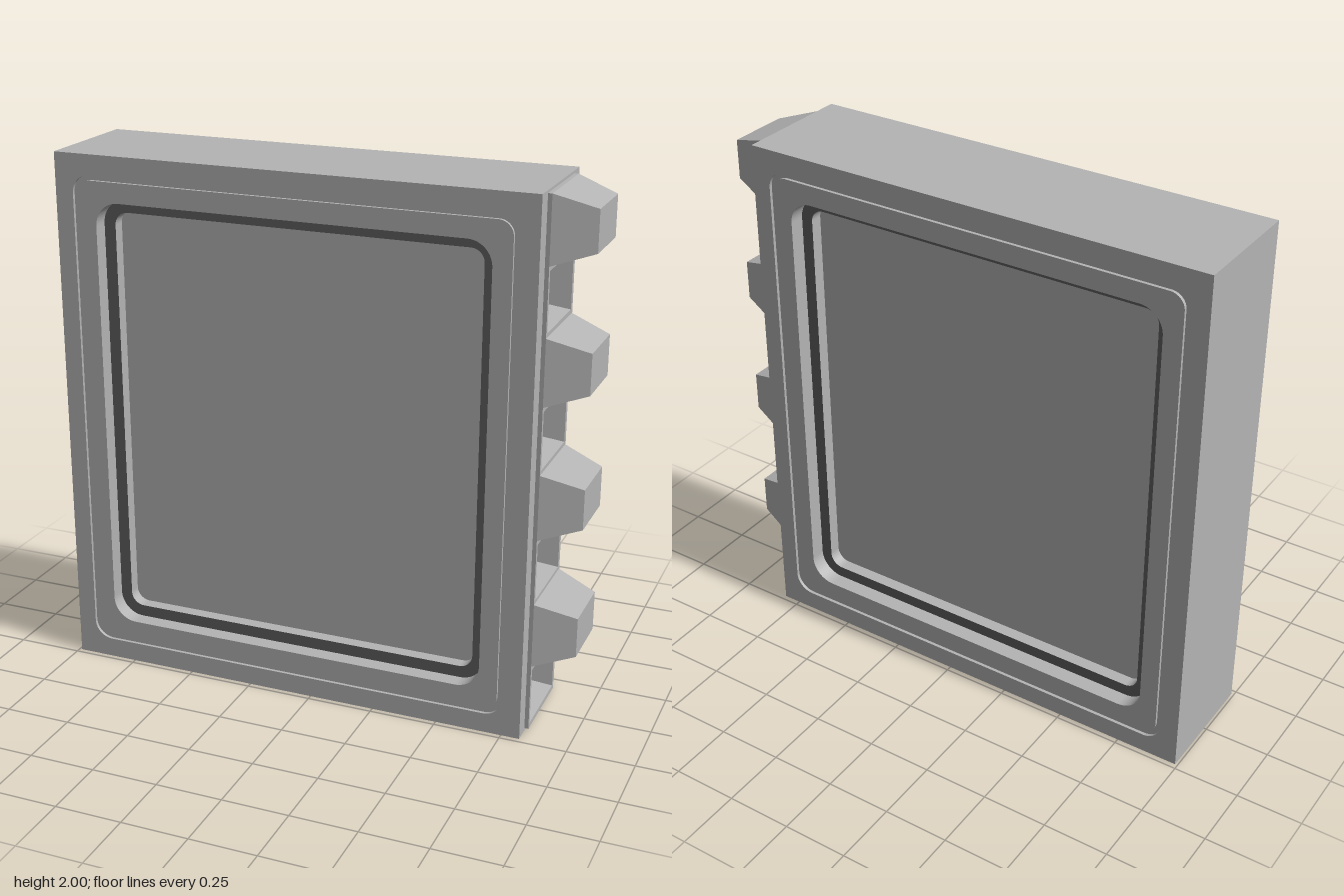
import * as THREE from 'three';

const body = new THREE.MeshStandardMaterial({ color: 0xb4b4b4 });
body.name = 'light grey';
const dark = new THREE.MeshStandardMaterial({ color: 0x606060 });
dark.name = 'dark grey';

function add(parent, name, geometry, material = body) {
  const mesh = new THREE.Mesh(geometry, material);
  mesh.name = name;
  parent.add(mesh);
  return mesh;
}

// Box given by its limits on each axis
function block(x0, x1, y0, y1, z0, z1) {
  return new THREE.BoxGeometry(x1 - x0, y1 - y0, z1 - z0)
    .translate((x0 + x1) / 2, (y0 + y1) / 2, (z0 + z1) / 2);
}

// Rectangle outline with half sizes w, h and corner radius r
function outline(w, h, r = 0, cx = 0, cy = 0, Type = THREE.Shape) {
  const s = new Type();
  if (!r) {
    return s.moveTo(cx - w, cy - h).lineTo(cx + w, cy - h).lineTo(cx + w, cy + h)
      .lineTo(cx - w, cy + h).lineTo(cx - w, cy - h);
  }
  s.moveTo(cx - w + r, cy - h);
  s.absarc(cx + w - r, cy - h + r, r, -Math.PI / 2, 0);
  s.absarc(cx + w - r, cy + h - r, r, 0, Math.PI / 2);
  s.absarc(cx - w + r, cy + h - r, r, Math.PI / 2, Math.PI);
  s.absarc(cx - w + r, cy - h + r, r, Math.PI, Math.PI * 1.5);
  return s;
}

// Plate with a rounded hole, extruded from z0 to z1
function frame(outer, inner, z0, z1) {
  const s = outline(...outer);
  s.holes.push(outline(...inner, 0, 0, THREE.Path));
  return new THREE.ExtrudeGeometry(s, { depth: z1 - z0, bevelEnabled: false, curveSegments: 8 })
    .translate(0, 0, z0);
}

// Box along x whose +x end (or -x end when inward) is narrower
function taper(length, h0, d0, h1, d1, inward = false) {
  const g = new THREE.BoxGeometry(length, 1, 1).translate(length / 2, 0, 0);
  const p = g.attributes.position;
  for (let i = 0; i < p.count; i++) {
    const tip = p.getX(i) > length / 2;
    p.setXYZ(i, inward ? -p.getX(i) : p.getX(i),
      p.getY(i) * (tip ? h1 : h0), p.getZ(i) * (tip ? d1 : d0));
  }
  g.computeVertexNormals();
  return g;
}

// Strip with a row of pocket mouths, extruded along x
const pocketY = i => 0.135 + i * 0.495;
function pocketStrip(halfDepth, y0, y1, x0, x1) {
  const s = outline(halfDepth, (y1 - y0) / 2, 0, 0, (y0 + y1) / 2);
  for (let i = 0; i < 4; i++) s.holes.push(outline(0.15, 0.1075, 0, 0, pocketY(i), THREE.Path));
  return new THREE.ExtrudeGeometry(s, { depth: x1 - x0, bevelEnabled: false })
    .rotateY(Math.PI / 2).translate(x0, 0, 0);
}

export function createModel() {
  const model = new THREE.Group();
  model.name = 'toothedPanel';

  // Central panel and the solid edges around it
  add(model, 'panel', block(-0.9, 0.66, 0.1, 1.9, -0.123, 0.123));
  add(model, 'leftEdge', block(-0.99, -0.83, 0, 2, -0.165, 0.165));
  add(model, 'topEdge', block(-0.83, 0.66, 1.83, 2, -0.165, 0.165));
  add(model, 'bottomEdge', block(-0.83, 0.66, 0, 0.17, -0.165, 0.165));
  add(model, 'socketEdge', pocketStrip(0.165, 0, 2, 0.66, 0.82));
  add(model, 'socketPlate', pocketStrip(0.165, 0.01, 1.99, 0.82, 0.835));

  // Framed faces, the same on front and back
  const slab = [0.905, 1, 0];
  const grooveOut = [0.835, 0.925, 0.07];
  const grooveIn = [0.815, 0.905, 0.055];
  const opening = [0.745, 0.83, 0.09];
  const inset = [0.7, 0.785, 0.05];
  for (const [name, angle] of [['frontFace', 0], ['backFace', Math.PI]]) {
    const face = new THREE.Group();
    face.name = name;
    face.position.set(-0.085, 1, 0);
    face.rotation.y = angle;
    add(face, 'frameBase', frame(slab, opening, 0.165, 0.218));
    add(face, 'outerFrame', frame(slab, grooveOut, 0.218, 0.23));
    add(face, 'innerFrame', frame(grooveIn, opening, 0.218, 0.23));
    add(face, 'insetRing', frame(opening, inset, 0.123, 0.17), [dark, body]);
    model.add(face);
  }

  // Tapered teeth alternating with matching sockets
  for (let i = 0; i < 4; i++) {
    add(model, 'tooth', taper(0.15, 0.245, 0.33, 0.15, 0.24))
      .position.set(0.835, 0.387 + i * 0.4935, 0);
    add(model, 'socket', taper(0.155, 0.215, 0.3, 0.155, 0.236, true))
      .position.set(0.835, pocketY(i), 0);
  }
  return model;
}
